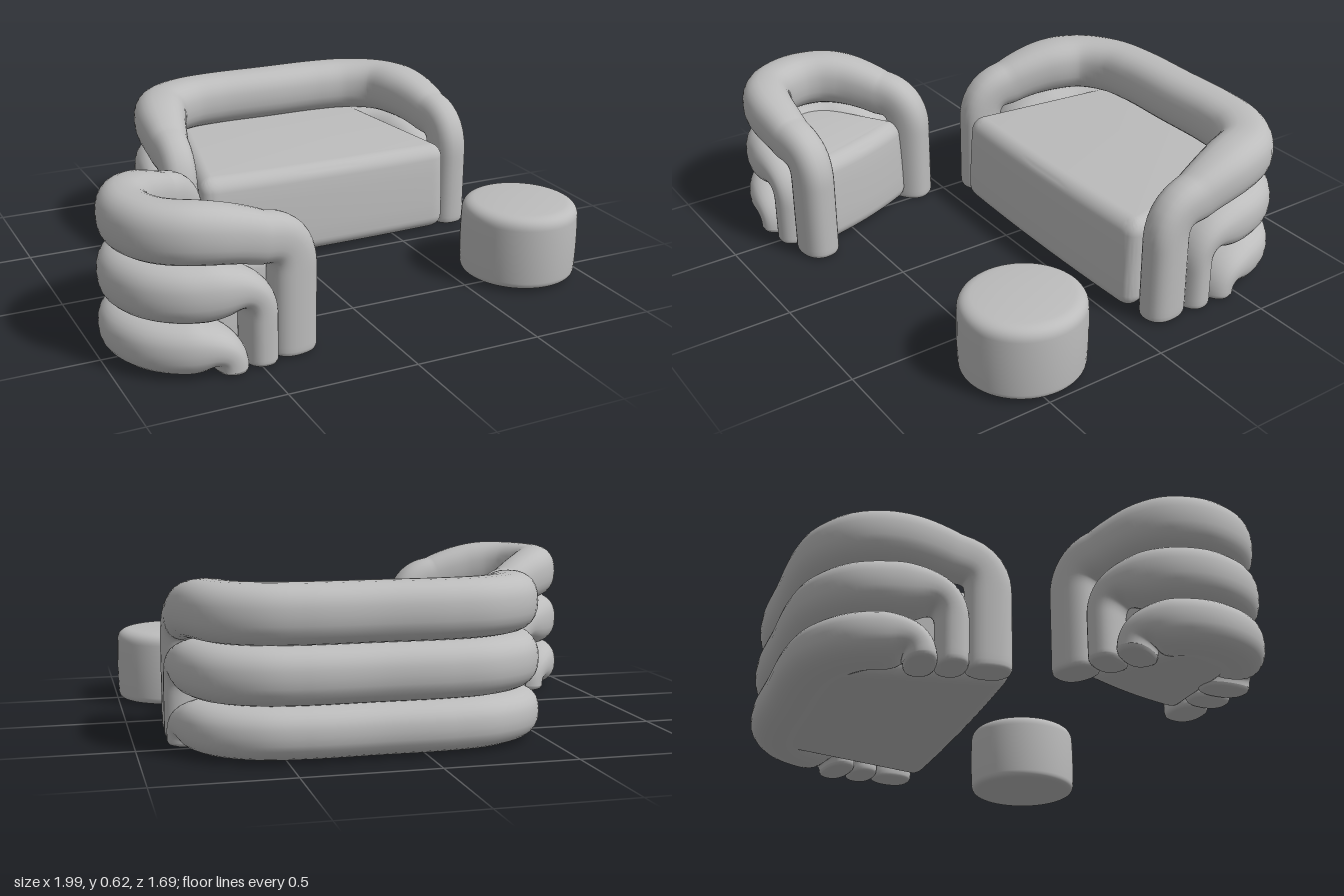
import * as THREE from 'three';
import { toCreasedNormals } from 'three/addons/utils/BufferGeometryUtils.js';

const upholstery = new THREE.MeshStandardMaterial({ color: 0xbcbcbc });
upholstery.name = 'greyUpholstery';

const { lerp, smoothstep } = THREE.MathUtils;

function part(name, geometry) {
  const mesh = new THREE.Mesh(geometry, upholstery);
  mesh.name = name;
  return mesh;
}

// Stacked rolls, from the top: each turns down to the floor behind the one above
const ROLLS = [
  { name: 'topRoll', start: 0, yFront: 0.46, yBack: 0.52, bend: 0.13, leg: 0.09, half: 0.11, blend: 0.4, extra: 0 },
  { name: 'middleRoll', start: 0.14, yFront: 0.305, yBack: 0.305, bend: 0.12, leg: 0.062, half: 0.107, blend: 0.2, extra: 0.006 },
  { name: 'bottomRoll', start: 0.255, yFront: 0.105, yBack: 0.105, bend: 0.09, leg: 0.062, half: 0.097, blend: 0.14, extra: 0.01 },
];

// Padded roll swept along a U-shaped plan, with both ends bent down to the floor
function rollGeometry(plan, roll, frontWidth, backWidth) {
  const length = plan.getLength(), middle = length / 2;
  const { start, yFront, yBack, bend } = roll;
  const path = new THREE.Path();
  path.moveTo(start, 0.01);
  path.lineTo(start, Math.max(0.015, yFront - bend));
  path.quadraticCurveTo(start, yFront, start + bend, lerp(yFront, yBack, 0.1));
  path.quadraticCurveTo(start + 0.28, yBack, Math.min(start + 0.42, middle - 0.02), yBack);
  path.lineTo(middle, yBack);

  // Half path, with small extra rings that close and round the foot
  const half = path.getSpacedPoints(56).map(p => ({ s: p.x, y: p.y, k: 1 }));
  half.splice(0, 1,
    { s: start, y: 0.006, k: 0 }, { s: start, y: 0.007, k: 0.84 },
    { s: start, y: 0.012, k: 0.94 }, { s: start, y: 0.02, k: 0.98 });
  for (let i = 4; i < half.length; i++) half[i].y = Math.max(half[i].y, 0.021 + i * 0.0005);
  const other = half.slice(0, -1).reverse().map(p => ({ ...p, s: length - p.s }));
  const rings = [...half, ...other];

  const at = p => {
    const q = plan.getPointAt(THREE.MathUtils.clamp(p.s / length, 0, 1));
    return new THREE.Vector3(q.x, p.y, q.z);
  };
  const SIDES = 28, positions = [], index = [];
  const power = v => Math.sign(v) * Math.pow(Math.abs(v), 0.84);
  rings.forEach((p, i) => {
    const centre = at(p);
    const tangent = at(rings[Math.min(i + 1, rings.length - 1)])
      .sub(at(rings[Math.max(i - 1, 0)])).normalize();
    const along = plan.getTangentAt(THREE.MathUtils.clamp(p.s / length, 0, 1));
    const across = new THREE.Vector3(along.z, 0, -along.x).normalize();
    const upward = new THREE.Vector3().crossVectors(tangent, across).normalize();
    const fromEnd = Math.min(p.s, length - p.s);
    const a = lerp(frontWidth, backWidth, smoothstep(fromEnd, 0, 0.4)) + roll.extra;
    const b = lerp(roll.leg, roll.half, smoothstep(fromEnd, start, start + roll.blend));
    for (let j = 0; j < SIDES; j++) {
      const angle = j / SIDES * Math.PI * 2;
      const v = centre.clone()
        .addScaledVector(across, a * p.k * power(Math.cos(angle)))
        .addScaledVector(upward, b * p.k * power(Math.sin(angle)));
      positions.push(v.x, Math.max(v.y, 0.004), v.z);
      if (i === rings.length - 1) continue;
      const n = (j + 1) % SIDES, r = i * SIDES, t = r + SIDES;
      index.push(r + j, r + n, t + n, r + j, t + n, t + j);
    }
  });
  const geometry = new THREE.BufferGeometry();
  geometry.setAttribute('position', new THREE.Float32BufferAttribute(positions, 3));
  geometry.setIndex(index);
  geometry.computeVertexNormals();
  return geometry;
}

// Seat block: tapered plan with rounded edges and a top rising towards the back
function seatGeometry({ front, back, frontHalf, backHalf, height, rise }) {
  const c = 0.07, bevel = 0.055, bottom = 0.015;
  const shape = new THREE.Shape();
  shape.moveTo(-backHalf, -back);
  shape.lineTo(-frontHalf, -front + c);
  shape.quadraticCurveTo(-frontHalf, -front + 0.012, -frontHalf + c, -front + 0.01);
  shape.quadraticCurveTo(0, -front - 0.01, frontHalf - c, -front + 0.01);
  shape.quadraticCurveTo(frontHalf, -front + 0.012, frontHalf, -front + c);
  shape.lineTo(backHalf, -back);
  shape.closePath();
  const geometry = new THREE.ExtrudeGeometry(shape, {
    depth: height - bottom - 2 * bevel, steps: 4, curveSegments: 12,
    bevelThickness: bevel, bevelSize: bevel, bevelOffset: -bevel, bevelSegments: 8,
  });
  geometry.rotateX(-Math.PI / 2).translate(0, bottom + bevel, 0);
  const p = geometry.attributes.position;
  for (let i = 0; i < p.count; i++) {
    const level = (p.getY(i) - bottom) / (height - bottom);
    p.setY(i, p.getY(i) + level * rise * (front - p.getZ(i)) / (front - back));
    p.setZ(i, p.getZ(i) - 0.02 * level * level);
  }
  return toCreasedNormals(geometry, 0.7);
}

// Sofa or armchair: three rolls around a seat; the plan lists half the centre line
function seating(name, halfPlan, frontWidth, backWidth, seat) {
  const group = new THREE.Group();
  group.name = name;
  const points = [
    ...halfPlan.slice(1).reverse().map(([x, z]) => new THREE.Vector3(x, 0, z)),
    ...halfPlan.map(([x, z]) => new THREE.Vector3(-x, 0, z)),
  ];
  const plan = new THREE.CatmullRomCurve3(points, false, 'centripetal');
  for (const roll of ROLLS) group.add(part(roll.name, rollGeometry(plan, roll, frontWidth, backWidth)));
  group.add(part('seat', seatGeometry(seat)));
  return group;
}

// Round footstool with a softly domed top
function footstool() {
  const profile = new THREE.Path();
  profile.moveTo(0, 0.018);
  profile.lineTo(0.2, 0.018);
  profile.quadraticCurveTo(0.225, 0.018, 0.227, 0.045);
  profile.quadraticCurveTo(0.233, 0.15, 0.228, 0.265);
  profile.quadraticCurveTo(0.226, 0.308, 0.18, 0.314);
  profile.quadraticCurveTo(0.1, 0.322, 0, 0.322);
  const geometry = new THREE.LatheGeometry(profile.getPoints(10), 56);
  geometry.scale(1, 1, 1.035);
  return part('footstool', geometry);
}

export function createModel() {
  const model = new THREE.Group();
  model.name = 'loungeSet';

  const sofa = seating('sofa',
    [[0, -0.745], [0.25, -0.745], [0.4, -0.72], [0.52, -0.64], [0.58, -0.5], [0.612, -0.33], [0.625, -0.17]],
    0.072, 0.112,
    { front: -0.035, back: -0.74, frontHalf: 0.56, backHalf: 0.43, height: 0.385, rise: 0.035 });
  sofa.position.x = 0.175;

  const armchair = seating('armchair',
    [[0, -0.235], [0.08, -0.222], [0.155, -0.175], [0.21, -0.1], [0.25, 0], [0.28, 0.1], [0.3, 0.2]],
    0.075, 0.1,
    { front: 0.245, back: -0.22, frontHalf: 0.25, backHalf: 0.13, height: 0.375, rise: 0.02 });
  armchair.position.set(-0.64, 0, 0.485);
  armchair.rotation.y = THREE.MathUtils.degToRad(110);

  const stool = footstool();
  stool.position.set(0.77, 0, 0.455);

  model.add(sofa, armchair, stool);
  return model;
}
